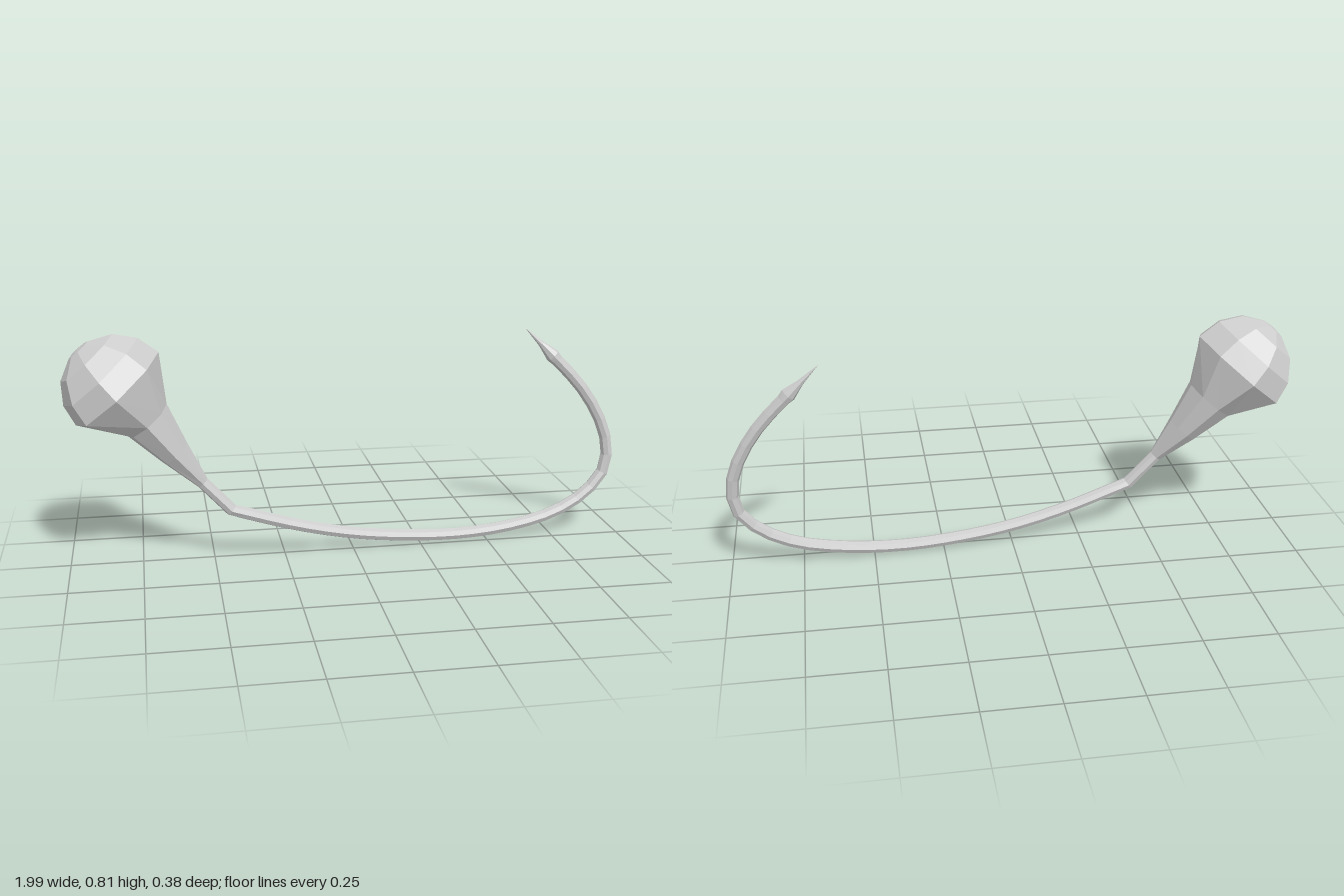
import * as THREE from 'three';

const SIDES = 8;

// Skin a list of rings {p, rn, rz, skew}; rn lies in the hook's plane, rz along z
function loft(rings, first, last) {
  const pos = [], idx = [];
  for (let i = first; i <= last; i++) {
    const { p, rn, rz, skew = 0 } = rings[i];
    const a = rings[Math.max(i - 1, 0)].p, b = rings[Math.min(i + 1, rings.length - 1)].p;
    const t = b.clone().sub(a).setZ(0).normalize();
    for (let j = 0; j < SIDES; j++) {
      const ang = (j / SIDES) * Math.PI * 2, c = Math.cos(ang) * rn;
      const s = Math.sin(ang) * rz * (1 - skew * Math.cos(ang));
      pos.push(p.x - t.y * c, p.y + t.x * c, p.z + s);
    }
  }
  for (let i = 0; i < last - first; i++) {
    for (let j = 0; j < SIDES; j++) {
      const k = (j + 1) % SIDES, a = i * SIDES + j, b = i * SIDES + k;
      idx.push(a, b, a + SIDES, b, b + SIDES, a + SIDES);
    }
  }
  const g = new THREE.BufferGeometry();
  g.setAttribute('position', new THREE.Float32BufferAttribute(pos, 3));
  g.setIndex(idx);
  const flat = g.toNonIndexed();
  flat.computeVertexNormals();
  return flat;
}

export function createModel() {
  const group = new THREE.Group();
  const material = new THREE.MeshStandardMaterial({ color: 0xcccccc, flatShading: true, side: THREE.DoubleSide });
  const V = (x, y, z) => new THREE.Vector3(x, y, z);
  const rings = [];

  // Domed weight: half a ball, from its apex down to the rim
  const centre = V(-0.81, 0.627, 0), axis = V(0.658, -0.753, 0), R = 0.188;
  for (const deg of [90, 77, 51, 25, 0]) {
    const a = THREE.MathUtils.degToRad(deg);
    const r = deg === 90 ? 0 : R * Math.cos(a);
    rings.push({ p: centre.clone().addScaledVector(axis, -R * Math.sin(a)), rn: r, rz: r, skew: 0.18 });
  }

  // Tapering neck
  rings.push(
    { p: V(-0.715, 0.513, -0.005), rn: 0.087, rz: 0.112 },
    { p: V(-0.625, 0.395, 0.008), rn: 0.054, rz: 0.07 },
    { p: V(-0.535, 0.287, 0.022), rn: 0.022, rz: 0.024 },
  );
  const joint = rings.length;

  // Shank and bend
  const path = new THREE.CatmullRomCurve3([
    V(-0.437, 0.182, 0.025), V(-0.2, 0.105, 0.008), V(0, 0.058, -0.006), V(0.2, 0.032, -0.018),
    V(0.4, 0.023, -0.028), V(0.6, 0.039, -0.038), V(0.78, 0.083, -0.05), V(0.9, 0.153, -0.06),
    V(0.965, 0.235, -0.068), V(0.972, 0.32, -0.075), V(0.948, 0.41, -0.083),
    V(0.89, 0.515, -0.092), V(0.82, 0.6, -0.099), V(0.775, 0.645, -0.103),
  ]);
  const N = 28;
  for (let i = 0; i <= N; i++) rings.push({ p: path.getPointAt(i / N), rn: 0.022, rz: 0.024 });

  // Barb flare and sharp point
  rings.push(
    { p: V(0.757, 0.664, -0.105), rn: 0.026, rz: 0.025 },
    { p: V(0.715, 0.707, -0.112), rn: 0.011, rz: 0.012 },
    { p: V(0.652, 0.768, -0.117), rn: 0, rz: 0 },
  );

  const add = (name, first, last) => {
    const mesh = new THREE.Mesh(loft(rings, first, last), material);
    mesh.name = name;
    group.add(mesh);
  };
  add('weight', 0, 4);
  add('neck', 4, joint);
  add('hook', joint, joint + N);
  add('barbedPoint', joint + N, rings.length - 1);
  return group;
}
